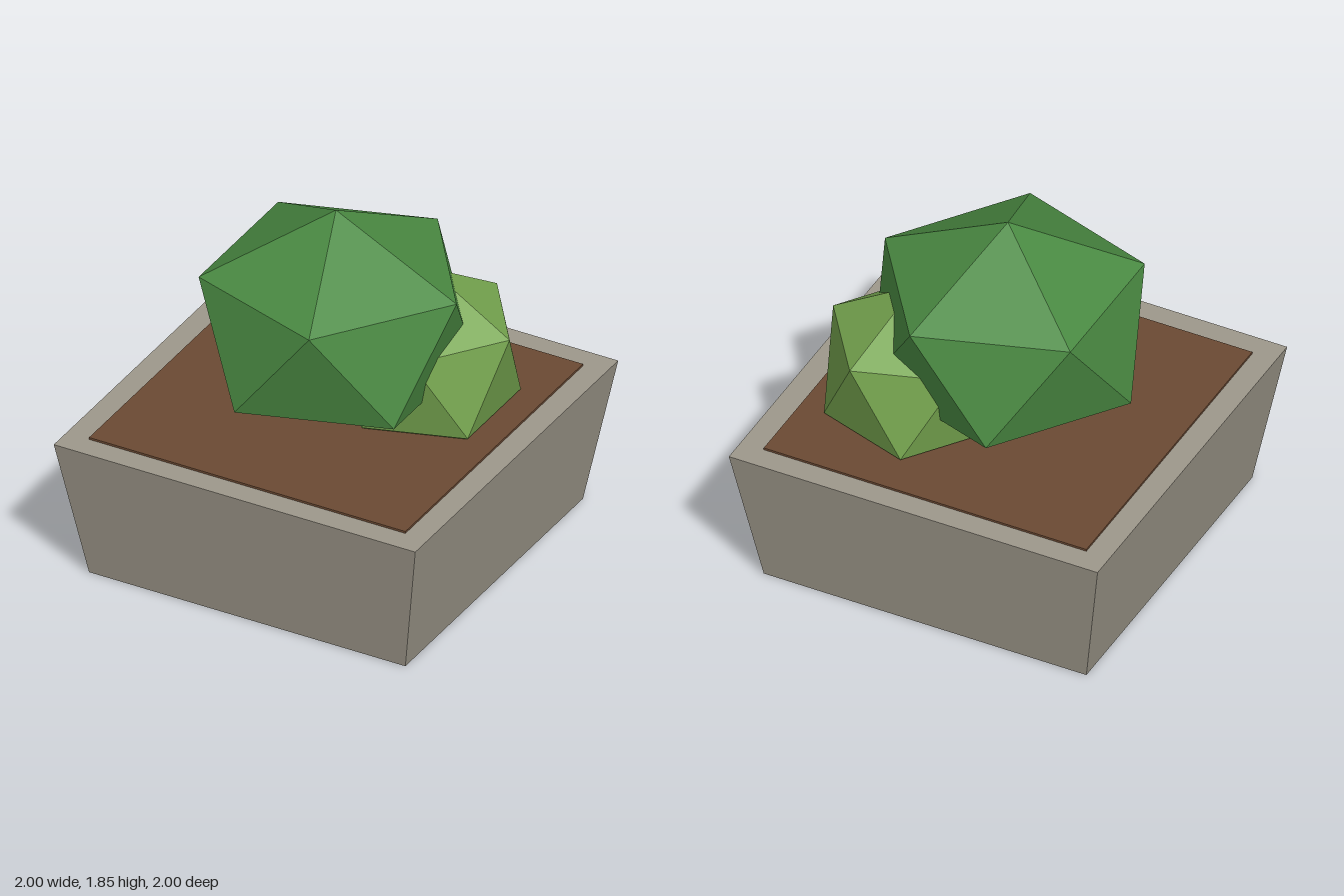
import * as THREE from 'three';

const mat = (name, color) => {
  const m = new THREE.MeshStandardMaterial({ color, flatShading: true });
  m.name = name;
  return m;
};

export function createModel() {
  const model = new THREE.Group();
  model.name = 'planter';

  const stone = mat('stone', 0x9e988b);
  const soil = mat('soil', 0x6b4a33);
  const darkLeaf = mat('darkLeaf', 0x4a8a42);
  const lightLeaf = mat('lightLeaf', 0x76a54f);

  const add = (name, geometry, material, x, y, z) => {
    const mesh = new THREE.Mesh(geometry, material);
    mesh.name = name;
    mesh.position.set(x, y, z);
    model.add(mesh);
    return mesh;
  };

  // Square pot tapering towards its base
  const potHeight = 0.755;
  const pot = new THREE.CylinderGeometry(Math.SQRT2, 0.875 * Math.SQRT2, potHeight, 4);
  pot.rotateY(Math.PI / 4);
  add('pot', pot, stone, 0, potHeight / 2, 0);

  // Thin bed of soil on top
  add('soilBed', new THREE.BoxGeometry(1.75, 0.016, 1.75), soil, 0, 0.758, 0);

  // Low-poly bushes: icosahedra turned so that one corner points straight up
  const addBush = (name, material, radiusXZ, radiusY, x, y, z) => {
    const geometry = new THREE.IcosahedronGeometry(1, 0);
    geometry.rotateZ(-Math.atan(2 / (1 + Math.sqrt(5))));
    geometry.scale(radiusXZ, radiusY, radiusXZ);
    add(name, geometry, material, x, y, z);
  };
  addBush('largeBush', darkLeaf, 0.746, 0.6, 0, 1.25, 0);
  addBush('smallBush', lightLeaf, 0.4975, 0.4975, 0.375, 1.002, -0.25);

  return model;
}
